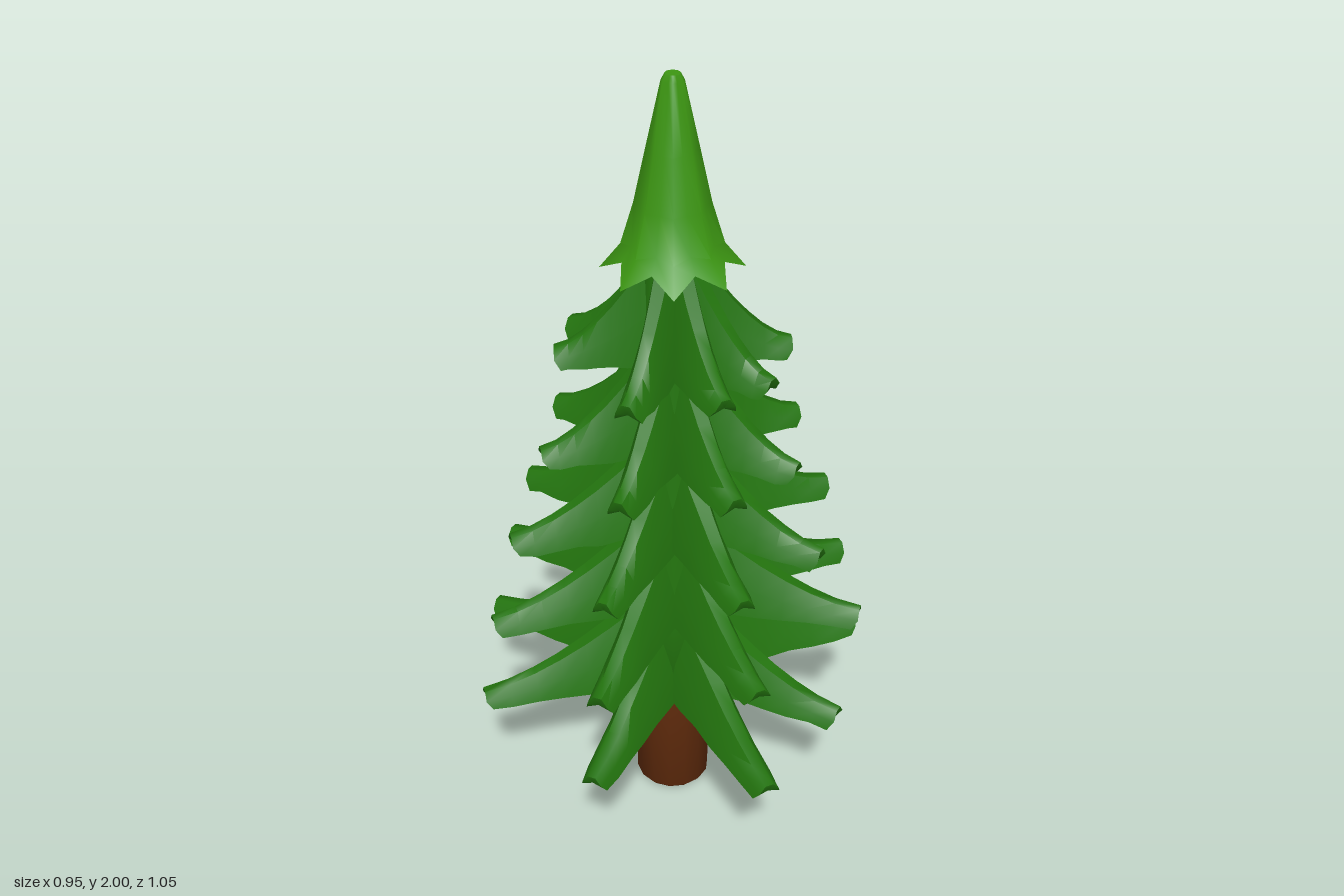
import * as THREE from 'three';
import { toCreasedNormals } from 'three/addons/utils/BufferGeometryUtils.js';

// Seeded random in -1..1 for the ragged growth
let seed = 7;
const jitter = (amount) => {
  seed = (seed * 16807) % 2147483647;
  return (seed / 2147483647 * 2 - 1) * amount;
};

// Skin through rings of equal point count, optionally closing the last ring
function loft(rings, closeEnd, crease) {
  const n = rings[0].length, pos = rings.flat(2), idx = [];
  for (let i = 0; i < rings.length - 1; i++) {
    for (let j = 0; j < n; j++) {
      const a = i * n + j, b = i * n + (j + 1) % n;
      idx.push(a, b, a + n, b, b + n, a + n);
    }
  }
  if (closeEnd) {
    const last = rings[rings.length - 1], base = (rings.length - 1) * n, centre = pos.length / 3;
    for (let k = 0; k < 3; k++) pos.push(last.reduce((s, p) => s + p[k], 0) / n);
    for (let j = 0; j < n; j++) idx.push(centre, base + j, base + (j + 1) % n);
  }
  const g = new THREE.BufferGeometry();
  g.setAttribute('position', new THREE.Float32BufferAttribute(pos, 3));
  g.setIndex(idx);
  return toCreasedNormals(g, crease);
}

// Drooping bough along +x: rounded ridge, hanging sides, hollow underside
function boughGeometry(reach, top, tip, width) {
  const rings = [];
  const inner = 0.04, steps = 7;
  for (let i = 0; i <= steps; i++) {
    const u = i / steps;
    const x = inner + (reach - inner) * u;
    const ridge = tip + (top - tip) * Math.pow(1 - u, 1.6);
    const low = tip - 0.045 + 0.02 * (1 - u) + jitter(0.004);
    const w = THREE.MathUtils.lerp(width, 0.035, Math.pow(u, 0.8)) + jitter(0.002);
    const mid = THREE.MathUtils.lerp(low, ridge, 0.5);
    const hollow = THREE.MathUtils.lerp(low, ridge, 0.35);
    const pull = i === steps ? 0.015 : 0;
    rings.push([
      [x, ridge, 0.3 * w], [x, mid, 0.74 * w], [x - pull, low, w],
      [x - pull, hollow, 0],
      [x - pull, low + jitter(0.005), -w], [x, mid, -0.74 * w], [x, ridge, -0.3 * w],
    ]);
  }
  return loft(rings, true, 1);
}

// Star-shaped ring with eight points around the trunk axis
function starRing(valleyR, pointR, valleyY, pointY) {
  const ring = [];
  for (let j = 0; j < 16; j++) {
    const a = j * Math.PI / 8, point = j % 2 === 0;
    const r = point ? pointR : valleyR;
    ring.push([r * Math.cos(a), point ? pointY : valleyY, -r * Math.sin(a)]);
  }
  return ring;
}

export function createModel() {
  seed = 7;
  const tree = new THREE.Group();
  tree.name = 'pineTree';
  const bark = new THREE.MeshStandardMaterial({ color: 0x642d0d });
  const needles = new THREE.MeshStandardMaterial({ color: 0x23740e });
  const freshNeedles = new THREE.MeshStandardMaterial({ color: 0x3c9612 });
  bark.name = 'bark brown';
  needles.name = 'needle green';
  freshNeedles.name = 'fresh green';

  const add = (parent, name, geometry, material) => {
    const mesh = new THREE.Mesh(geometry, material);
    mesh.name = name;
    parent.add(mesh);
    return mesh;
  };
  const lathe = (points, sides) => toCreasedNormals(
    new THREE.LatheGeometry(points.map(([r, y]) => new THREE.Vector2(r, y)), sides), 1);

  // Trunk with a slightly rounded foot
  add(tree, 'trunk', lathe([[0.001, 0], [0.088, 0.002], [0.096, 0.012], [0.096, 0.42]], 14), bark);

  // Leafy column that the boughs grow from
  add(tree, 'core', lathe([
    [0.001, 0.37], [0.1, 0.37], [0.14, 0.43], [0.135, 0.62], [0.135, 0.7], [0.125, 0.86],
    [0.12, 0.94], [0.105, 1.1], [0.1, 1.17], [0.085, 1.33], [0.08, 1.42], [0.06, 1.62], [0.001, 1.64],
  ], 16), needles);

  // Directions in degrees (from +x towards +z), and reach on the lowest tier
  const directions = [-107, -67, -22, 27, 74, 111, 159, 209];
  const lowReach = [0.54, 0.52, 0.505, 0.515, 0.475, 0.55, 0.5, 0.505];

  // Tiers; strays are boughs by index that grow at an angle of their own
  const tiers = [
    { top: 0.64, tip: 0.4, width: 0.083, reach: lowReach, strays: {} },
    { top: 0.88, tip: 0.64, width: 0.08, reach: Array(8).fill(0.475), strays: { 4: 60 } },
    { top: 1.11, tip: 0.872, width: 0.076, reach: Array(8).fill(0.41), strays: {} },
    { top: 1.36, tip: 1.1, width: 0.069, reach: Array(8).fill(0.33), strays: {} },
    { top: 1.6, tip: 1.335, width: 0.061, reach: Array(8).fill(0.28), strays: { 1: -75, 3: 40, 4: 82, 7: 222 } },
  ];
  tiers.forEach(({ top, tip, width, reach, strays }, t) => {
    const tier = new THREE.Group();
    tier.name = 'tier' + (t + 1);
    tree.add(tier);
    directions.forEach((angle, b) => {
      const turn = strays[b] ?? angle + (t ? jitter(2) : 0);
      const length = reach[b] * (t ? 1 + jitter(0.02) : 1);
      const geometry = boughGeometry(length, top, tip + jitter(0.008), width);
      const bough = add(tier, 'bough', geometry, needles);
      bough.rotation.y = -THREE.MathUtils.degToRad(turn);
    });
  });

  // Bright treetop with a pointed, flaring hem
  const hem = starRing(0.125, 0.167, 1.575, 1.54);
  add(tree, 'treetop', loft([
    hem,
    starRing(0.1, 0.118, 1.61, 1.6),
    starRing(0.078, 0.088, 1.7, 1.7),
    starRing(0.053, 0.06, 1.83, 1.83),
    starRing(0.024, 0.026, 1.985, 1.985),
    starRing(0.017, 0.018, 2, 2),
  ], true, 1), freshNeedles);
  add(tree, 'treetopUnderside', loft([starRing(0.03, 0.03, 1.6, 1.6), hem], false, 1), needles);

  return tree;
}
